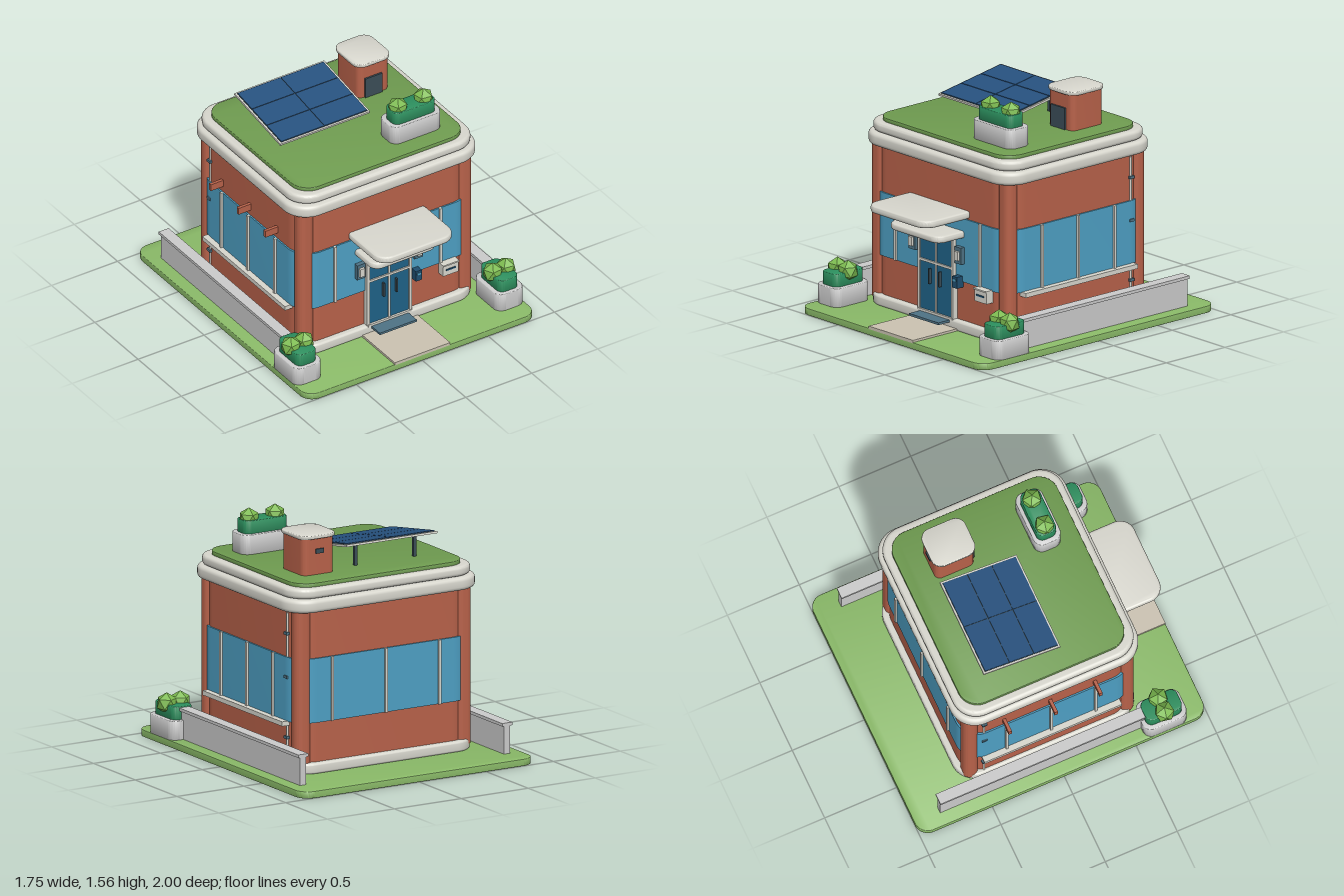
import * as THREE from 'three';
import { toCreasedNormals } from 'three/addons/utils/BufferGeometryUtils.js';

const colors = {
  lawn: 0x8aba68, roof: 0x6f9c50, brick: 0xb8624a, cream: 0xd8d7ce, stone: 0xcccccc,
  glass: 0x4ea0c4, door: 0x1f6287, hedge: 0x2c8f5e, leaf: 0x7dbb50, path: 0xcbc3b2,
  solar: 0x27527f, dark: 0x3b4d57, blue: 0x1f4f70, mat: 0x4f7385,
};
const mats = {};
for (const k in colors) mats[k] = new THREE.MeshStandardMaterial({ color: colors[k] });
mats.leaf.flatShading = true;

export function createModel() {
  const root = new THREE.Group();

  const add = (parent, name, geo, mat, x = 0, y = 0, z = 0) => {
    const m = new THREE.Mesh(geo, mats[mat]);
    m.name = name;
    m.position.set(x, y, z);
    parent.add(m);
    return m;
  };
  // plain box, given by its centre
  const box = (parent, name, mat, w, h, d, x, y, z) =>
    add(parent, name, new THREE.BoxGeometry(w, h, d), mat, x, y, z);

  // horizontal slab with rounded corners and softened rims; y is the underside
  const slab = (parent, name, mat, w, h, d, r, bevel, x, y, z) => {
    const a = w / 2 - bevel, b = d / 2 - bevel, c = Math.max(r - bevel, 0.002);
    const s = new THREE.Shape();
    s.absarc(a - c, b - c, c, 0, Math.PI / 2);
    s.absarc(-a + c, b - c, c, Math.PI / 2, Math.PI);
    s.absarc(-a + c, -b + c, c, Math.PI, Math.PI * 1.5);
    s.absarc(a - c, -b + c, c, Math.PI * 1.5, Math.PI * 2);
    s.closePath();
    const g = new THREE.ExtrudeGeometry(s, {
      depth: h - 2 * bevel, bevelEnabled: bevel > 0, bevelSize: bevel,
      bevelThickness: bevel, bevelSegments: 4, curveSegments: 10,
    });
    g.translate(0, 0, bevel);
    g.rotateX(-Math.PI / 2);
    return add(parent, name, toCreasedNormals(g, 0.6), mat, x, y, z);
  };

  // planter with a hedge and two faceted bushes
  const planter = (name, w, h, d, x, y, z, gap) => {
    const g = new THREE.Group();
    g.name = name;
    g.position.set(x, y, z);
    root.add(g);
    slab(g, 'planterTub', 'stone', w, h, d, 0.06, 0.006, 0, 0, 0);
    slab(g, 'hedge', 'hedge', w - 0.06, 0.1, d - 0.05, 0.045, 0.006, 0, h - 0.015, 0);
    for (const s of [-1, 1]) {
      const leaf = new THREE.IcosahedronGeometry(0.07, 0);
      leaf.rotateX(-1.0172);
      leaf.rotateY(s * 0.5);
      add(g, 'bush', leaf, 'leaf', s * gap, h + 0.085, 0);
    }
  };

  // ground
  slab(root, 'lawn', 'lawn', 1.74, 0.045, 2, 0.09, 0.004, 0, 0, 0);
  box(root, 'path', 'path', 0.42, 0.02, 0.4, 0, 0.05, 0.8);
  box(root, 'doorStep', 'mat', 0.28, 0.015, 0.13, 0, 0.095, 0.655);

  // building shell
  slab(root, 'plinth', 'cream', 1.35, 0.07, 1.25, 0.15, 0.015, 0, 0.042, 0);
  slab(root, 'brickBody', 'brick', 1.3, 1.05, 1.17, 0.15, 0, 0, 0.08, 0);
  slab(root, 'windowBand', 'glass', 1.32, 0.42, 1.19, 0.15, 0, 0, 0.37, 0);
  for (const sx of [-1, 1]) for (const sz of [-1, 1])
    slab(root, 'cornerColumn', 'brick', 0.115, 1.03, 0.1, 0.045, 0, sx * 0.6, 0.08, sz * 0.541);

  // cornice and planted roof
  slab(root, 'lowerCornice', 'cream', 1.42, 0.085, 1.29, 0.17, 0.025, 0, 1.1, 0);
  slab(root, 'corniceGap', 'dark', 1.32, 0.02, 1.19, 0.15, 0, 0, 1.178, 0);
  slab(root, 'upperCornice', 'cream', 1.37, 0.065, 1.24, 0.16, 0.022, 0, 1.187, 0);
  slab(root, 'greenRoof', 'roof', 1.26, 0.035, 1.14, 0.13, 0.004, 0, 1.242, 0);

  // window bars on all four sides, with sills and drainpipes on the flanks
  for (const s of [-1, 1]) {
    for (const x of [-0.4, 0, 0.4])
      box(root, 'windowBar', 'cream', 0.016, 0.42, 0.02, x, 0.58, s * 0.597);
    for (const z of [-0.31, 0, 0.31])
      box(root, 'windowBar', 'cream', 0.02, 0.42, 0.016, s * 0.665, 0.58, z);
    box(root, 'windowSill', 'cream', 0.07, 0.03, 0.955, s * 0.665, 0.36, 0);
    add(root, 'drainpipe', new THREE.CylinderGeometry(0.008, 0.008, 0.97, 10), 'cream', s * 0.65, 0.595, -0.46);
    for (const y of [0.265, 0.66, 0.945])
      box(root, 'pipeClamp', 'mat', 0.025, 0.018, 0.035, s * 0.654, y, -0.46);
  }
  for (const z of [-0.32, 0, 0.31])
    box(root, 'wallBracket', 'brick', 0.1, 0.047, 0.022, -0.695, 0.856, z);

  // entrance door
  const door = new THREE.Group();
  door.name = 'entranceDoor';
  root.add(door);
  box(door, 'doorGlass', 'door', 0.32, 0.58, 0.04, 0, 0.395, 0.59);
  for (const s of [-1, 1]) {
    box(door, 'doorPost', 'cream', 0.02, 0.59, 0.05, s * 0.16, 0.39, 0.595);
    box(door, 'doorHandle', 'dark', 0.01, 0.1, 0.02, s * 0.048, 0.35, 0.625);
    // wall lamps
    box(root, 'lampFrame', 'mat', 0.06, 0.11, 0.03, s * 0.218, 0.547, 0.61);
    box(root, 'lampGlow', 'cream', 0.036, 0.06, 0.02, s * 0.218, 0.547, 0.632);
  }
  box(door, 'doorMullion', 'cream', 0.014, 0.58, 0.03, 0, 0.395, 0.602);
  box(door, 'doorTransom', 'cream', 0.32, 0.016, 0.03, 0, 0.443, 0.605);
  box(door, 'doorThreshold', 'cream', 0.33, 0.015, 0.05, 0, 0.11, 0.6);

  // door canopies
  slab(root, 'upperCanopy', 'cream', 0.58, 0.048, 0.45, 0.1, 0.015, 0, 0.798, 0.74);
  slab(root, 'lowerCanopy', 'cream', 0.49, 0.046, 0.3, 0.07, 0.015, 0, 0.661, 0.665);

  // call box and mailbox
  box(root, 'callBox', 'blue', 0.045, 0.075, 0.055, 0.207, 0.37, 0.615);
  box(root, 'callBoxScreen', 'glass', 0.028, 0.015, 0.01, 0.207, 0.385, 0.641);
  box(root, 'mailbox', 'cream', 0.115, 0.08, 0.06, 0.45, 0.332, 0.61);
  box(root, 'mailboxLid', 'cream', 0.122, 0.01, 0.07, 0.45, 0.373, 0.612);
  box(root, 'mailSlot', 'blue', 0.07, 0.01, 0.012, 0.45, 0.335, 0.64);

  // garden walls and front planters
  for (const s of [-1, 1]) {
    box(root, 'gardenWall', 'stone', 0.045, 0.19, 1.42, s * 0.762, 0.135, -0.115);
    box(root, 'wallCap', 'stone', 0.075, 0.02, 1.43, s * 0.762, 0.238, -0.115);
    planter('frontPlanter', 0.21, 0.128, 0.3, s * 0.765, 0.042, 0.72, 0.05);
  }

  // roof planter
  planter('roofPlanter', 0.38, 0.13, 0.185, 0.33, 1.275, 0.358, 0.097);

  // roof access hut
  slab(root, 'roofHut', 'brick', 0.235, 0.25, 0.27, 0.04, 0, 0.365, 1.27, -0.25);
  slab(root, 'hutCap', 'cream', 0.27, 0.025, 0.3, 0.07, 0.006, 0.365, 1.512, -0.25);
  box(root, 'hutDoor', 'dark', 0.13, 0.145, 0.02, 0.355, 1.348, -0.113);
  box(root, 'hutVent', 'dark', 0.06, 0.03, 0.015, 0.365, 1.43, -0.388);

  // tilted solar array
  const solar = new THREE.Group();
  solar.name = 'solarArray';
  solar.position.set(-0.17, 1.392, -0.132);
  solar.rotation.x = 0.165;
  root.add(solar);
  box(solar, 'panelFrame', 'cream', 0.68, 0.014, 0.54, 0, 0, 0);
  box(solar, 'panelBacking', 'dark', 0.655, 0.01, 0.515, 0, 0.005, 0);
  for (const x of [-1, 1]) for (const z of [-1, 0, 1])
    box(solar, 'solarCell', 'solar', 0.322, 0.012, 0.167, x * 0.1635, 0.008, z * 0.1725);
  for (const x of [-0.39, 0.05])
    box(root, 'panelLeg', 'dark', 0.02, 0.14, 0.02, x, 1.34, -0.31);

  return root;
}
